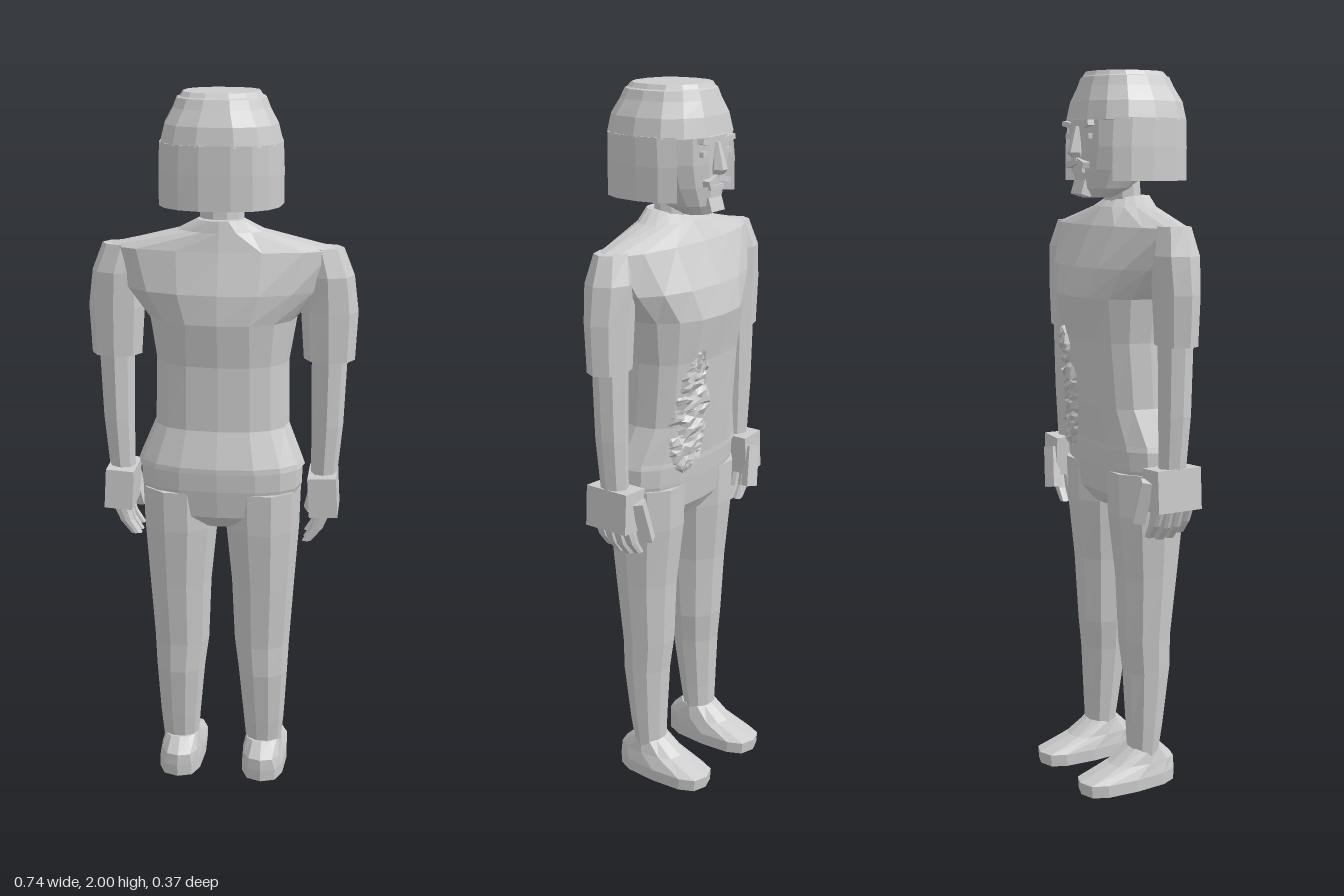
import * as THREE from 'three';

const grey = new THREE.MeshStandardMaterial({ color: 0xcccccc });
grey.name = 'light grey';

// Ring of a squared-off ellipse: row = [y, centreX, radiusX, zBack, zFront, roundness]
function ring([y, cx, rx, zb, zf, e = 1], n, from = 0, sweep = Math.PI * 2) {
  const pw = (v) => Math.sign(v) * Math.pow(Math.abs(v), e);
  const pts = [], closed = sweep > 6.28;
  for (let i = 0; i < n; i++) {
    const a = from + (sweep * i) / (closed ? n : n - 1);
    pts.push([cx + rx * pw(Math.cos(a)), y, (zb + zf) / 2 + ((zb - zf) / 2) * pw(Math.sin(a))]);
  }
  return pts;
}

// Faceted solid through a stack of rings (bottom to top), capped at both ends
function loftRings(rings) {
  const pos = [], n = rings[0].length, tri = (...p) => p.forEach((q) => pos.push(...q));
  for (let i = 0; i < rings.length - 1; i++) {
    const lo = rings[i], hi = rings[i + 1];
    for (let j = 0; j < n; j++) {
      const k = (j + 1) % n;
      tri(lo[j], hi[j], lo[k]);
      tri(lo[k], hi[j], hi[k]);
    }
  }
  const b = rings[0], t = rings[rings.length - 1];
  for (let j = 0; j < n / 2 - 1; j++) {
    tri(b[j], b[j + 1], b[n - 2 - j]);
    tri(b[j], b[n - 2 - j], b[n - 1 - j]);
    tri(t[j], t[n - 2 - j], t[j + 1]);
    tri(t[j], t[n - 1 - j], t[n - 2 - j]);
  }
  const g = new THREE.BufferGeometry();
  g.setAttribute('position', new THREE.Float32BufferAttribute(pos, 3));
  g.computeVertexNormals();
  return g;
}

const loft = (rows, n) => loftRings(rows.map((r) => ring(r, n)));

export function createModel() {
  const model = new THREE.Group();
  const add = (name, geometry, parent = model) => {
    const m = new THREE.Mesh(geometry, grey);
    m.name = name;
    parent.add(m);
    return m;
  };
  const box = (name, size, at, rot = [0, 0, 0], parent = model) => {
    const m = add(name, new THREE.BoxGeometry(...size), parent);
    m.position.set(...at);
    m.rotation.set(...rot);
    return m;
  };

  // Shirt body, pelvis and neck
  add('shirt', loft([
    [0.985, 0, 0.235, 0.16, -0.1, 0.85], [1.0, 0, 0.23, 0.16, -0.1, 0.85],
    [1.1, 0, 0.188, 0.13, -0.11, 0.8], [1.28, 0, 0.185, 0.128, -0.127, 0.8],
    [1.4, 0, 0.205, 0.147, -0.15, 0.9], [1.48, 0, 0.27, 0.142, -0.13, 0.95],
    [1.59, 0, 0.33, 0.11, -0.08, 1.1], [1.64, 0, 0.12, 0.1, -0.045], [1.67, 0, 0.065, 0.095, -0.01],
  ], 16));
  add('pelvis', loft([
    [0.81, 0, 0.1, 0.1, -0.05], [0.85, 0, 0.2, 0.135, -0.075, 0.8],
    [0.93, 0, 0.228, 0.148, -0.085, 0.8], [0.99, 0, 0.228, 0.152, -0.09, 0.8],
  ], 16));
  add('neck', loft([[1.6, 0, 0.065, 0.075, -0.025], [1.75, 0, 0.055, 0.065, -0.03]], 10));

  for (const s of [1, -1]) {
    const side = s > 0 ? 'left' : 'right';
    const limb = (name, rows, n, parent) =>
      add(side + name, loft(rows.map(([y, x, ...r]) => [y, s * x, ...r]), n), parent);

    // Leg and shoe
    limb('Leg', [
      [0.09, 0.125, 0.052, 0.06, -0.028], [0.18, 0.125, 0.06, 0.075, -0.032],
      [0.34, 0.122, 0.072, 0.098, -0.04], [0.43, 0.118, 0.08, 0.1, -0.05],
      [0.62, 0.12, 0.09, 0.12, -0.06], [0.8, 0.117, 0.105, 0.14, -0.08],
      [0.92, 0.117, 0.108, 0.146, -0.084],
    ], 10);
    limb('Shoe', [
      [0, 0.125, 0.067, 0.11, -0.185, 0.7], [0.035, 0.125, 0.067, 0.112, -0.188, 0.7],
      [0.07, 0.123, 0.058, 0.11, -0.09, 0.75], [0.11, 0.123, 0.05, 0.07, -0.03, 0.9],
    ], 12);

    // Sleeve and forearm
    limb('Sleeve', [
      [1.285, 0.295, 0.07, 0.065, -0.04], [1.42, 0.293, 0.078, 0.07, -0.045],
      [1.52, 0.288, 0.07, 0.075, -0.05], [1.595, 0.268, 0.06, 0.06, -0.03],
    ], 8);
    limb('Forearm', [
      [0.93, 0.287, 0.036, 0.045, -0.03], [1.1, 0.294, 0.044, 0.055, -0.035],
      [1.32, 0.296, 0.05, 0.058, -0.038],
    ], 8);

    // Hand: palm, four curled fingers, thumb
    const hand = new THREE.Group();
    hand.name = side + 'Hand';
    model.add(hand);
    box('palm', [0.08, 0.115, 0.135], [s * 0.288, 0.898, 0.008], [0, 0, s * 0.06], hand);
    for (let f = 0; f < 4; f++) {
      const z = 0.056 - f * 0.031, drop = [0.012, 0, 0, 0.008][f];
      limb('Finger', [
        [0.752 + drop, 0.245, 0.013, z + 0.011, z - 0.011, 0.6],
        [0.79 + drop, 0.272, 0.017, z + 0.013, z - 0.013, 0.6],
        [0.86, 0.293, 0.022, z + 0.014, z - 0.014, 0.6],
      ], 8, hand);
    }
    box('thumb', [0.034, 0.12, 0.032], [s * 0.262, 0.865, -0.068], [0.2, s * 0.4, -s * 0.25], hand);
  }

  // Head
  add('face', loft([
    [1.665, 0, 0.045, -0.02, -0.1], [1.69, 0, 0.075, 0.04, -0.115], [1.74, 0, 0.1, 0.08, -0.118, 0.9],
    [1.8, 0, 0.118, 0.1, -0.12, 0.85], [1.87, 0, 0.125, 0.1, -0.122, 0.85], [1.92, 0, 0.12, 0.1, -0.1, 0.85],
  ], 14));
  add('nose', loft([
    [1.772, 0, 0.016, -0.1, -0.138], [1.785, 0, 0.022, -0.1, -0.15], [1.855, 0, 0.01, -0.1, -0.128],
  ], 6));
  box('mouth', [0.06, 0.012, 0.016], [0, 1.738, -0.114]);
  box('chinBeard', [0.06, 0.04, 0.03], [0, 1.69, -0.105], [0.3, 0, 0]);
  for (const s of [1, -1]) {
    box('eyebrow', [0.06, 0.014, 0.018], [s * 0.045, 1.857, -0.113], [0, s * 0.2, s * 0.2]);
    box('eye', [0.04, 0.014, 0.012], [s * 0.046, 1.828, -0.112], [0, s * 0.2, 0]);
    box('moustache', [0.05, 0.016, 0.02], [s * 0.026, 1.757, -0.117], [0, s * 0.15, -s * 0.25]);
  }

  // Bobbed hair: open-fronted shell below, closed cap above
  const from = (-42 * Math.PI) / 180, sweep = (264 * Math.PI) / 180;
  const bob = (y, rx, zb, zf) => [
    ...ring([y, 0, rx, zb, zf, 0.8], 14, from, sweep),
    ...ring([y, 0, rx - 0.03, zb - 0.03, zf + 0.03, 0.8], 14, from, sweep).reverse(),
  ];
  add('hairSides', loftRings([
    bob(1.71, 0.166, 0.186, -0.13), bob(1.8, 0.166, 0.186, -0.13), bob(1.875, 0.163, 0.184, -0.122),
  ]));
  add('hairCap', loft([
    [1.87, 0, 0.163, 0.184, -0.122, 0.8], [1.92, 0, 0.15, 0.175, -0.112, 0.8],
    [1.96, 0, 0.128, 0.155, -0.097, 0.85], [1.985, 0, 0.118, 0.143, -0.088, 0.85],
    [1.988, 0, 0.11, 0.138, -0.084, 0.85], [2.0, 0, 0.102, 0.127, -0.077, 0.85],
  ], 14));

  // Torn, folded patch on the belly, following the shirt surface
  let seed = 7;
  const rand = () => (seed = (seed * 16807) % 2147483647) / 2147483647;
  const patch = new THREE.PlaneGeometry(1, 1, 8, 28);
  const p = patch.attributes.position;
  for (let i = 0; i < p.count; i++) {
    const u = p.getX(i) * 2, v = p.getY(i) + 0.5;
    const half = 0.072 * Math.pow(Math.sin(Math.PI * Math.pow(v, 0.75)), 0.8) + 0.004;
    const y = 0.965 + v * 0.35 + (rand() - 0.5) * 0.012;
    const x = Math.min(0.1 - v * 0.025 - u * half * (0.9 + rand() * 0.2), 0.172);
    const rx = y < 1.1 ? 0.188 + (1.1 - y) * 0.38 : 0.187;
    const zc = 0.025, zf = -0.1 - 0.1 * Math.max(0, y - 1);
    const surface = zc + (zf - zc) * Math.pow(1 - Math.pow(Math.abs(x) / rx, 2.5), 0.4);
    const edge = Math.abs(u) > 0.99 || v < 0.01 || v > 0.99;
    p.setXYZ(i, x, y, surface + (edge ? 0.008 : 0.004 - rand() * 0.018));
  }
  const torn = patch.toNonIndexed();
  torn.computeVertexNormals();
  add('tornPatch', torn);

  return model;
}
